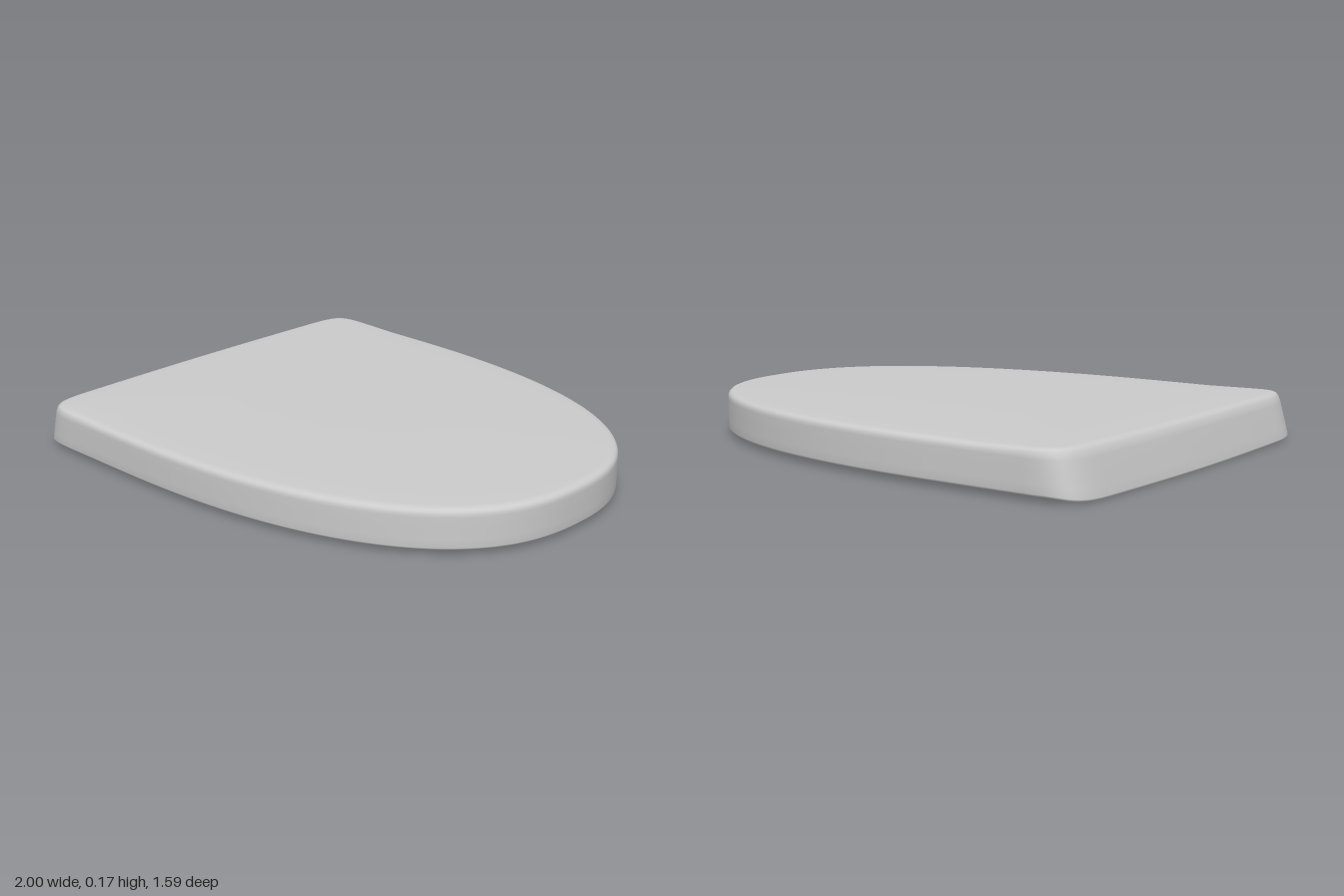
import * as THREE from 'three';

// Half of the plan outline, from the nose (+x) round to the middle of the straight back edge
function halfOutline() {
  const pts = [];
  const N = 64, e = 2 / 2.4;
  for (let i = 0; i <= N; i++) {
    const a = (i / N) * Math.PI / 2;
    pts.push(new THREE.Vector2(-0.5 + 1.5 * Math.max(0, Math.cos(a)) ** e, 0.795 * Math.sin(a) ** e));
  }
  const v = (x, z) => new THREE.Vector2(x, z);
  const side = new THREE.LineCurve(v(-0.5, 0.795), v(-0.8, 0.795));
  const corner = new THREE.CubicBezierCurve(v(-0.8, 0.795), v(-0.95, 0.795), v(-0.985, 0.77), v(-0.99, 0.6));
  const back = new THREE.QuadraticBezierCurve(v(-0.99, 0.6), v(-1, 0.25), v(-1, 0));
  for (const [curve, n] of [[side, 6], [corner, 24], [back, 12]]) pts.push(...curve.getPoints(n).slice(1));
  return pts;
}

// Shell section: [inset from outline, height, scale towards the middle], from ceiling to rim to top
const SECTION = [
  [0.05, 0.15, 0], [0.05, 0.15, 0.5], [0.05, 0.15, 0.9], [0.05, 0.15, 1],
  [0.038, 0.148, 1], [0.03, 0.142, 1], [0.027, 0.13, 1], [0.025, 0.08, 1], [0.025, 0.032, 1],
  [0.023, 0.025, 1], [0.018, 0.021, 1], [0.009, 0.021, 1], [0.003, 0.024, 1], [0, 0.031, 1],
  [0, 0.06, 1], [0, 0.1, 1], [0, 0.14, 1], [0.001, 0.15, 1], [0.004, 0.158, 1], [0.01, 0.164, 1],
  [0.02, 0.168, 1], [0.035, 0.17, 1], [0.035, 0.173, 0.92], [0.035, 0.176, 0.75],
  [0.035, 0.178, 0.5], [0.035, 0.178, 0.25], [0.035, 0.178, 0],
];

function lidGeometry() {
  const half = halfOutline();
  const mirrored = half.slice(1, -1).reverse().map(p => new THREE.Vector2(p.x, -p.y));
  const loop = [...half, ...mirrored];
  const n = loop.length, pos = [], idx = [];
  const clamp = t => THREE.MathUtils.clamp(t, 0, 1);
  const cx = -0.25;

  for (const [inset, h, s] of SECTION) {
    loop.forEach((p, i) => {
      const t = loop[(i + 1) % n].clone().sub(loop[(i + n - 1) % n]).normalize();
      let x = cx + (p.x - t.y * inset - cx) * s;
      const z = (p.y + t.x * inset) * s;
      // Rim drops and top edge rises slightly towards the back
      const drop = clamp((-0.87 - x) / 0.13) ** 2;
      let y = h - 0.0235 * drop * (1 - h / 0.178);
      if (h > 0.15) y += 0.007 * clamp((-0.6 - x) / 0.35) * clamp((h - 0.15) / 0.01) * clamp((0.18 - h) / 0.01);
      // Back wall leans forward
      x += 0.3 * (y - 0.01) * clamp((-0.6 - x) / 0.38);
      pos.push(x, Math.max(0, y), z);
    });
  }
  for (let j = 0; j < SECTION.length - 1; j++) {
    for (let i = 0; i < n; i++) {
      const k = (i + 1) % n;
      const a = j * n + i, b = j * n + k, c = a + n, d = b + n;
      idx.push(a, c, b, b, c, d);
    }
  }
  const g = new THREE.BufferGeometry();
  g.setAttribute('position', new THREE.Float32BufferAttribute(pos, 3));
  g.setIndex(idx);
  g.computeVertexNormals();
  return g;
}

export function createModel() {
  const group = new THREE.Group();
  group.name = 'seatLid';
  // One hollow shell, open underneath
  const lid = new THREE.Mesh(lidGeometry(), new THREE.MeshStandardMaterial({ color: 0xcccccc }));
  lid.name = 'lidShell';
  group.add(lid);
  return group;
}
